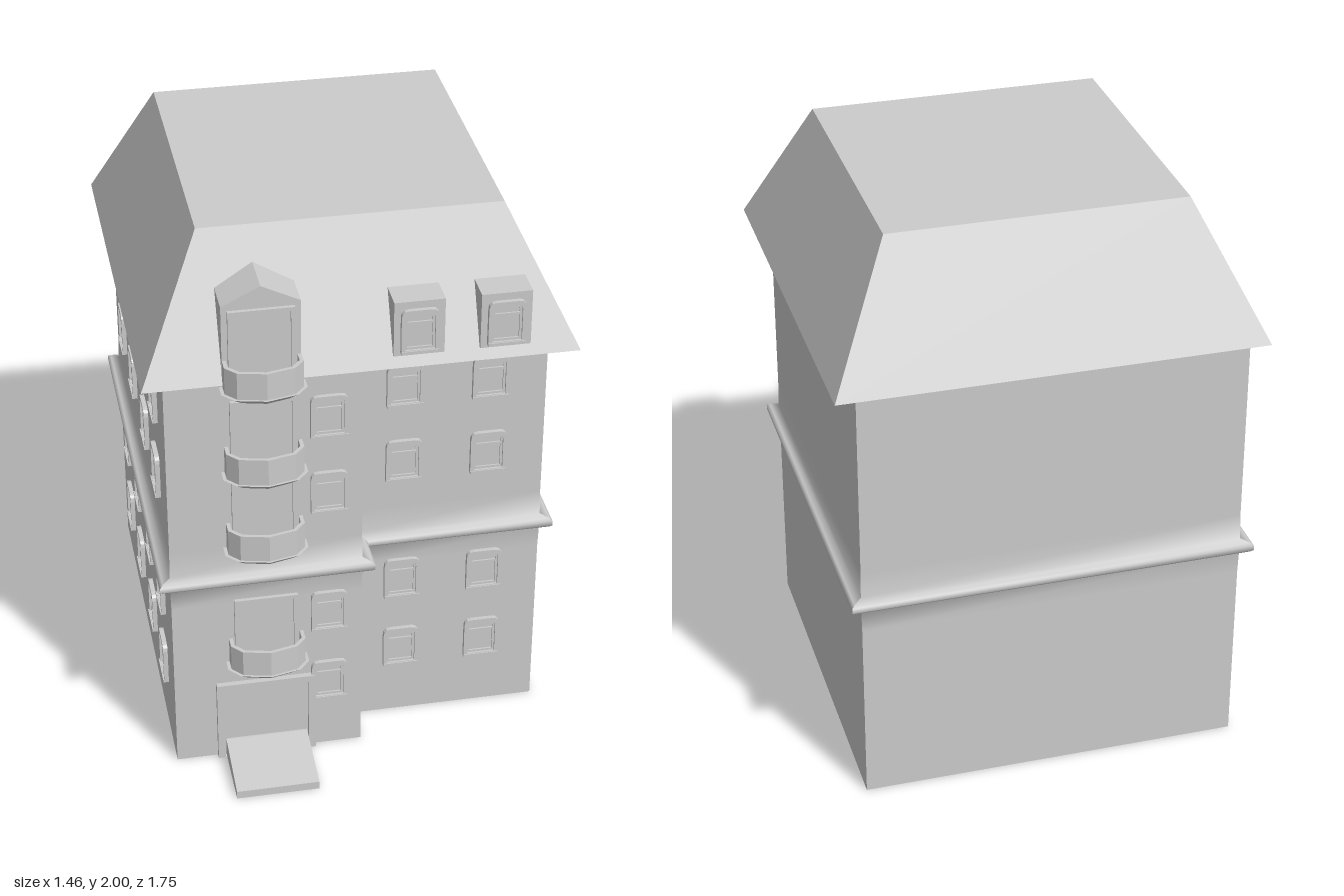
import * as THREE from 'three';

const material = new THREE.MeshStandardMaterial({ color: 0xcccccc });

function add(parent, geometry, name, x = 0, y = 0, z = 0) {
  const mesh = new THREE.Mesh(geometry, material);
  mesh.name = name;
  mesh.position.set(x, y, z);
  parent.add(mesh);
  return mesh;
}

const box = (w, h, d) => new THREE.BoxGeometry(w, h, d);
const polygon = (pts) => new THREE.Shape(pts.map(([x, y]) => new THREE.Vector2(x, y)));
const extrude = (shape, depth) =>
  new THREE.ExtrudeGeometry(shape, { depth, bevelEnabled: false, curveSegments: 3 });

// Upright opening standing on y = y0, with top corners rounded by r
function archShape(w, y0, y1, r) {
  const s = new THREE.Shape();
  s.moveTo(-w / 2, y0);
  s.lineTo(w / 2, y0);
  s.lineTo(w / 2, y1 - r);
  s.quadraticCurveTo(w / 2, y1, w / 2 - r, y1);
  s.lineTo(-w / 2 + r, y1);
  s.quadraticCurveTo(-w / 2, y1, -w / 2, y1 - r);
  s.closePath();
  return s;
}

// Wall outline pushed outwards by o, counterclockwise seen from the front
const footprint = (o) => [
  [-0.66 - o, 0.63 + o], [o, 0.63 + o], [o, 0.49 + o],
  [0.66 + o, 0.49 + o], [0.66 + o, -0.83 - o], [-0.66 - o, -0.83 - o],
];

// Walls with the cornice swept round them, smooth upwards and sharp at corners
function wallGeometry() {
  const rings = [[0, 0], [0.66, 0], [0.745, 0.002], [0.755, 0.03], [0.765, 0.04],
    [0.782, 0.04], [0.79, 0.03], [0.797, 0.002], [0.89, 0], [1.545, 0]];
  const pos = [];
  const index = [];
  for (let side = 0; side < 6; side++) {
    const start = pos.length / 3;
    rings.forEach(([y, o], k) => {
      const f = footprint(o);
      const [a, b] = [f[side], f[(side + 1) % 6]];
      pos.push(a[0], y, a[1], b[0], y, b[1]);
      if (k > 0) {
        const i = start + 2 * (k - 1);
        index.push(i, i + 1, i + 3, i, i + 3, i + 2);
      }
    });
  }
  const g = new THREE.BufferGeometry();
  g.setAttribute('position', new THREE.Float32BufferAttribute(pos, 3));
  g.setIndex(index);
  g.computeVertexNormals();
  return g;
}

// Box whose upper corners are drawn in to a smaller rectangle
function roofGeometry() {
  const g = box(2, 1, 2);
  const p = g.attributes.position;
  for (let i = 0; i < p.count; i++) {
    const top = p.getY(i) > 0;
    const x = p.getX(i) * (top ? 0.51 : 0.73);
    const z = p.getZ(i) > 0 ? (top ? 0.41 : 0.635) : (top ? -0.62 : -0.845);
    p.setXYZ(i, x, top ? 2 : 1.54, z);
  }
  g.computeVertexNormals();
  return g;
}

// Window standing on its origin and facing +z
function makeWindow(parent, x, y, z, turn = 0) {
  const g = new THREE.Group();
  g.name = 'window';
  const frame = archShape(0.126, 0, 0.16, 0.025);
  frame.holes.push(archShape(0.1, 0.012, 0.146, 0.018));
  add(g, extrude(frame, 0.016), 'windowFrame');
  const sash = archShape(0.1, 0.012, 0.146, 0.018);
  sash.holes.push(archShape(0.084, 0.02, 0.106, 0.002), archShape(0.084, 0.114, 0.138, 0.014));
  add(g, extrude(sash, 0.008), 'windowSash');
  add(g, extrude(archShape(0.1, 0.012, 0.146, 0.018), 0.002), 'windowPane');
  add(g, box(0.126, 0.01, 0.02), 'windowSill', 0, 0.005, 0.01);
  g.position.set(x, y, z);
  g.rotation.y = turn;
  parent.add(g);
}

// Square door with a frame on three sides
function makeDoor(parent, name, x, y, z, w, h, border, depth) {
  const g = new THREE.Group();
  g.name = name;
  const frame = archShape(w, 0, h, 0.001);
  frame.holes.push(archShape(w - 2 * border, 0.002, h - border, 0.001));
  add(g, extrude(frame, depth), 'doorFrame');
  add(g, box(w - border, h - border / 2, 0.006), 'doorPanel', 0, (h - border / 2) / 2, 0.001);
  g.position.set(x, y, z);
  parent.add(g);
}

// Faceted balcony: hollow parapet over a deck that narrows downwards
function makeBalcony(parent, x, y, z) {
  const g = new THREE.Group();
  g.name = 'balcony';
  const outer = [[-0.13, 0], [-0.13, 0.045], [-0.095, 0.085], [0, 0.107],
    [0.095, 0.085], [0.13, 0.045], [0.13, 0]];
  const inner = outer.map(([px, pz]) => [px * 0.9, pz * 0.88]).reverse();
  const rail = extrude(polygon([...outer, ...inner]), 0.105);
  rail.rotateX(Math.PI / 2);
  add(g, rail, 'balconyParapet', 0, 0.12, 0);

  const deck = extrude(polygon(outer.map(([px, pz]) => [px * 1.09, pz * 1.08])), 0.022);
  deck.rotateX(Math.PI / 2);
  const p = deck.attributes.position;
  for (let i = 0; i < p.count; i++) {
    if (p.getY(i) < -0.01) p.setXYZ(i, p.getX(i) * 0.75, p.getY(i), p.getZ(i) * 0.8);
  }
  deck.computeVertexNormals();
  add(g, deck, 'balconyDeck', 0, 0.022, 0);
  g.position.set(x, y, z);
  parent.add(g);
}

export function createModel() {
  const model = new THREE.Group();
  model.name = 'townHouse';

  add(model, wallGeometry(), 'wallsWithCornice');
  const floor = new THREE.ShapeGeometry(polygon(footprint(0).map(([x, z]) => [x, z])));
  floor.rotateX(Math.PI / 2);
  add(model, floor, 'floor');
  add(model, roofGeometry(), 'roof');

  // Four storeys of windows on the front and the right-hand wall
  for (const y of [0.21, 0.51, 1.005, 1.305]) {
    makeWindow(model, -0.115, y, 0.63);
    for (const x of [0.17, 0.465]) makeWindow(model, x, y, 0.49);
    for (const z of [-0.56, -0.25, 0.09, 0.39]) makeWindow(model, -0.66, y, z, -Math.PI / 2);
  }

  // Flat-topped dormers
  for (const x of [0.185, 0.475]) {
    add(model, box(0.17, 0.2, 0.16), 'smallDormer', x, 1.68, 0.545);
    makeWindow(model, x, 1.594, 0.625);
  }

  // Gabled dormer above the entrance
  const gable = polygon([[-0.13, 1.53], [0.13, 1.53], [0.13, 1.825], [0, 1.89], [-0.13, 1.825]]);
  add(model, extrude(gable, 0.185), 'gabledDormer', -0.335, 0, 0.44);

  // Balconies with their doors
  for (const [y, top, z] of [[0.39, 0.675, 0.63], [0.875, 1.165, 0.63],
    [1.18, 1.475, 0.63], [1.51, 1.81, 0.625]]) {
    makeBalcony(model, -0.335, y, 0.63);
    makeDoor(model, 'balconyDoor', -0.335, y + 0.02, z, 0.22, top - y - 0.02, 0.014, 0.014);
  }

  // Entrance door and ramp
  makeDoor(model, 'entranceDoor', -0.34, 0, 0.63, 0.35, 0.32, 0.026, 0.02);
  const ramp = extrude(polygon([[0.62, 0], [0.875, 0], [0.875, 0.03], [0.64, 0.072], [0.62, 0.072]]), 0.29);
  ramp.rotateY(-Math.PI / 2);
  add(model, ramp, 'entranceRamp', -0.195, 0, 0);

  return model;
}
